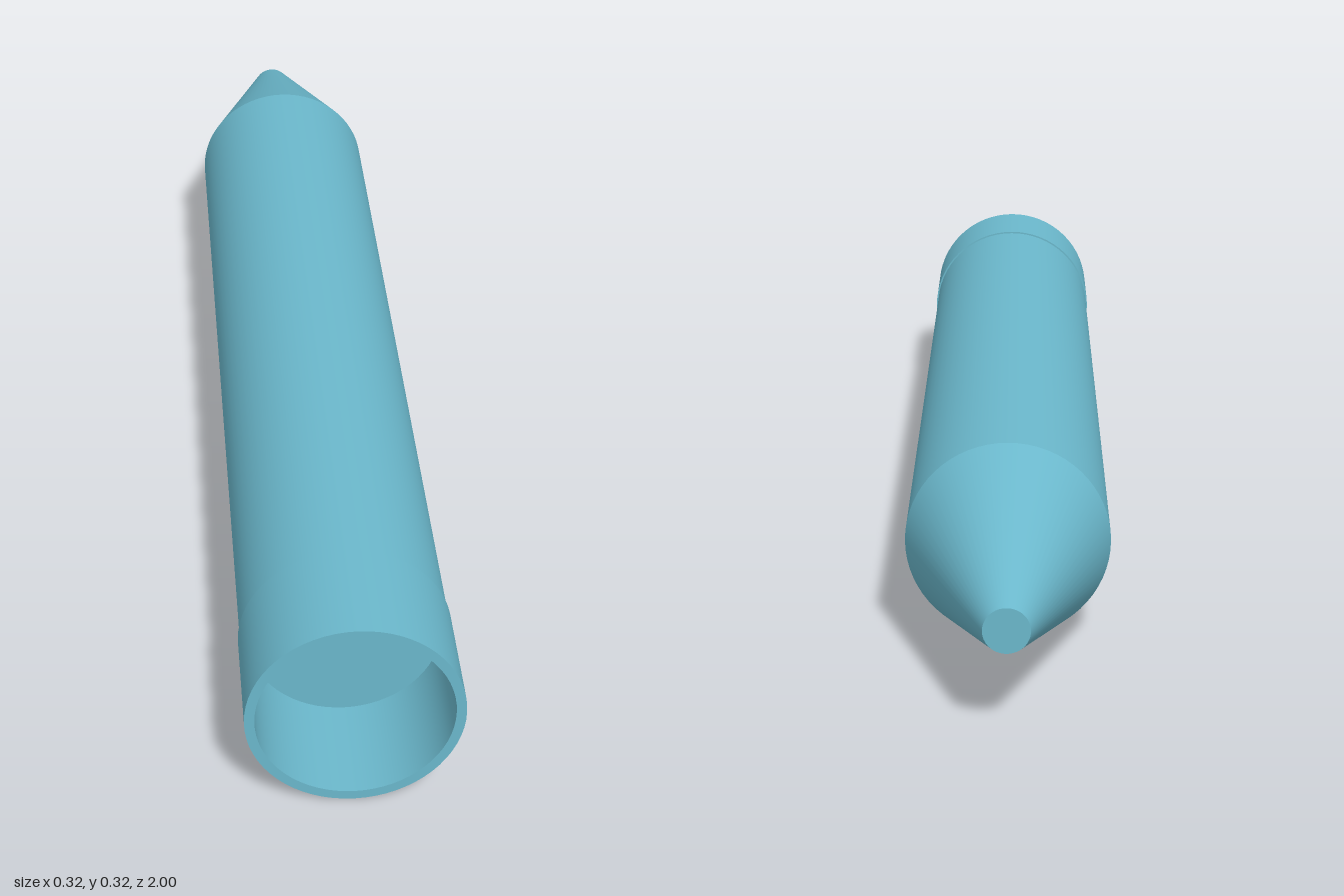
import * as THREE from 'three';
import { mergeGeometries } from 'three/addons/utils/BufferGeometryUtils.js';

const SEGMENTS = 64;
const R = 0.161; // collar radius, also the height of the axis

// Revolve a [radius, z] profile about z; each straight run is its own band, so corners stay crisp.
function turned(name, profile, material) {
  const bands = [];
  for (let i = 0; i < profile.length - 1; i++) {
    const pair = [profile[i], profile[i + 1]].map(([r, z]) => new THREE.Vector2(r, z));
    bands.push(new THREE.LatheGeometry(pair, SEGMENTS));
  }
  const geometry = mergeGeometries(bands);
  geometry.rotateX(Math.PI / 2);
  const mesh = new THREE.Mesh(geometry, material);
  mesh.name = name;
  mesh.position.y = R;
  return mesh;
}

export function createModel() {
  const group = new THREE.Group();
  group.name = 'crayon';
  const blue = new THREE.MeshStandardMaterial({ color: 0x6bb8cc });

  // blunt cone tip at the back
  group.add(turned('tip', [[0, -1], [0.034, -1], [0.158, -0.64]], blue));

  // long barrel, closed at the front to form the floor of the socket
  group.add(turned('barrel', [[0.158, -0.64], [0.158, 0.82], [0, 0.82]], blue));

  // slightly wider hollow collar around the open end
  group.add(turned('collar', [[0.157, 0.82], [R, 0.82], [R, 1], [0.146, 1], [0.146, 0.82]], blue));

  return group;
}
